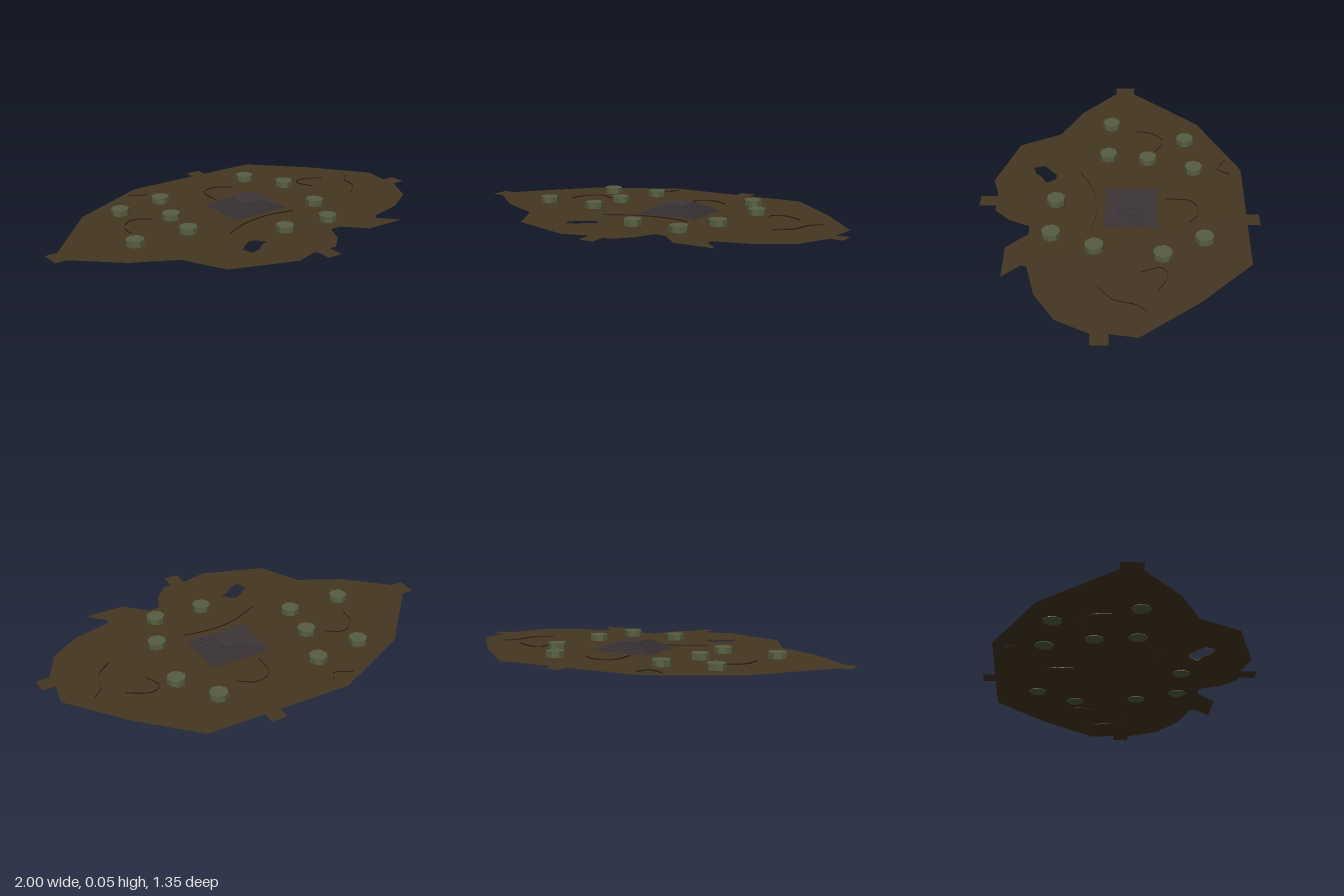
import * as THREE from 'three';

const mat = (name, color, side = THREE.FrontSide) => {
  const m = new THREE.MeshStandardMaterial({ color, side });
  m.name = name;
  return m;
};

// Outline of the ground sheet as [x, z], with a small tab on each side
const OUTLINE = [
  [-1, -.075], [-.94, -.075], [-.64, -.41], [-.23, -.615], [.13, -.615], [.13, -.675],
  [.21, -.675], [.21, -.615], [.49, -.615], [.74, -.37], [.955, -.1], [.935, .025],
  [1, .025], [1, .105], [.935, .105], [.855, .26], [.7, .36], [.52, .405], [.51, .43],
  [.59, .515], [.39, .515], [.29, .415], [.235, .415], [.19, .515], [.115, .59], [.08, .59],
  [.08, .67], [.005, .67], [.005, .59], [-.02, .59], [-.12, .62], [-.43, .515],
  [-.535, .31], [-.74, .205], [-.94, .025], [-1, .025],
];
const HOLE = [
  [-.25, .375], [-.17, .31], [-.135, .315], [-.105, .36], [-.155, .385], [-.18, .415], [-.235, .43],
];
const PILLARS = [
  [-.61, .045], [-.47, -.34], [-.22, -.375], [-.3, -.145], [-.33, .055],
  [.05, .3], [.3, .31], [.39, .105], [.44, -.21], [.325, -.405],
];
const CRACKS = [
  [[-.56, -.08], [-.55, -.16], [-.49, -.22], [-.44, -.22], [-.38, -.18]],
  [[.02, -.23], [.03, -.35], [.115, -.39], [.2, -.34]],
  [[-.19, .19], [-.04, .12], [.11, .1], [.24, .12]],
  [[.55, -.11], [.52, -.2], [.58, -.23], [.68, -.18]],
  [[.65, .08], [.73, .01], [.76, -.09], [.81, -.14]],
  [[-.31, -.54], [-.23, -.5], [-.19, -.56]],
];

// Vertical strip following a list of [x, z] points
function ribbon(points, height) {
  const pos = [], index = [];
  points.forEach(([x, z], i) => {
    pos.push(x, 0, z, x, height, z);
    if (i) {
      const a = 2 * i - 2;
      index.push(a, a + 2, a + 1, a + 1, a + 2, a + 3);
    }
  });
  const g = new THREE.BufferGeometry();
  g.setAttribute('position', new THREE.Float32BufferAttribute(pos, 3));
  g.setIndex(index);
  g.computeVertexNormals();
  return g;
}

const smoothPath = (pts) =>
  new THREE.SplineCurve(pts.map(([x, z]) => new THREE.Vector2(x, z))).getPoints(14).map((p) => [p.x, p.y]);

export function createModel() {
  const group = new THREE.Group();
  const earth = mat('earth brown', 0x443622, THREE.DoubleSide);
  const moss = mat('moss green', 0x565d42);
  const stone = mat('dark stone', 0x3d3639);
  const crackMat = mat('crack brown', 0x2a1d12, THREE.DoubleSide);

  const add = (name, geo, material, x = 0, y = 0, z = 0) => {
    const mesh = new THREE.Mesh(geo, material);
    mesh.name = name;
    mesh.position.set(x, y, z);
    group.add(mesh);
    return mesh;
  };

  // Ground sheet with its opening
  const toV2 = ([x, z]) => new THREE.Vector2(x, -z);
  const shape = new THREE.Shape(OUTLINE.map(toV2));
  shape.holes.push(new THREE.Path(HOLE.map(toV2)));
  add('ground', new THREE.ShapeGeometry(shape).rotateX(-Math.PI / 2), earth, 0, .003, 0);
  add('holeRim', ribbon([...HOLE, HOLE[0]], .005), earth);

  // Short faceted pillars
  const pillarGeo = new THREE.CylinderGeometry(.045, .045, .033, 8).toNonIndexed();
  pillarGeo.computeVertexNormals();
  PILLARS.forEach(([x, z], i) => {
    add('pillar', pillarGeo, moss, x, .0165, z).rotation.y = i * .37;
  });

  // Stepped mound of thin slabs
  const steps = 9, rise = .046 / steps;
  for (let i = 0; i < steps; i++) {
    const t = i / (steps - 1);
    add('moundStep', new THREE.BoxGeometry(.3 - .19 * t, rise, .25 - .12 * t), stone,
      .092, .004 + rise * (i + .5), -.065);
  }

  // Thin upright cracks
  CRACKS.forEach((pts) => add('crack', ribbon(smoothPath(pts), .009), crackMat));

  return group;
}
